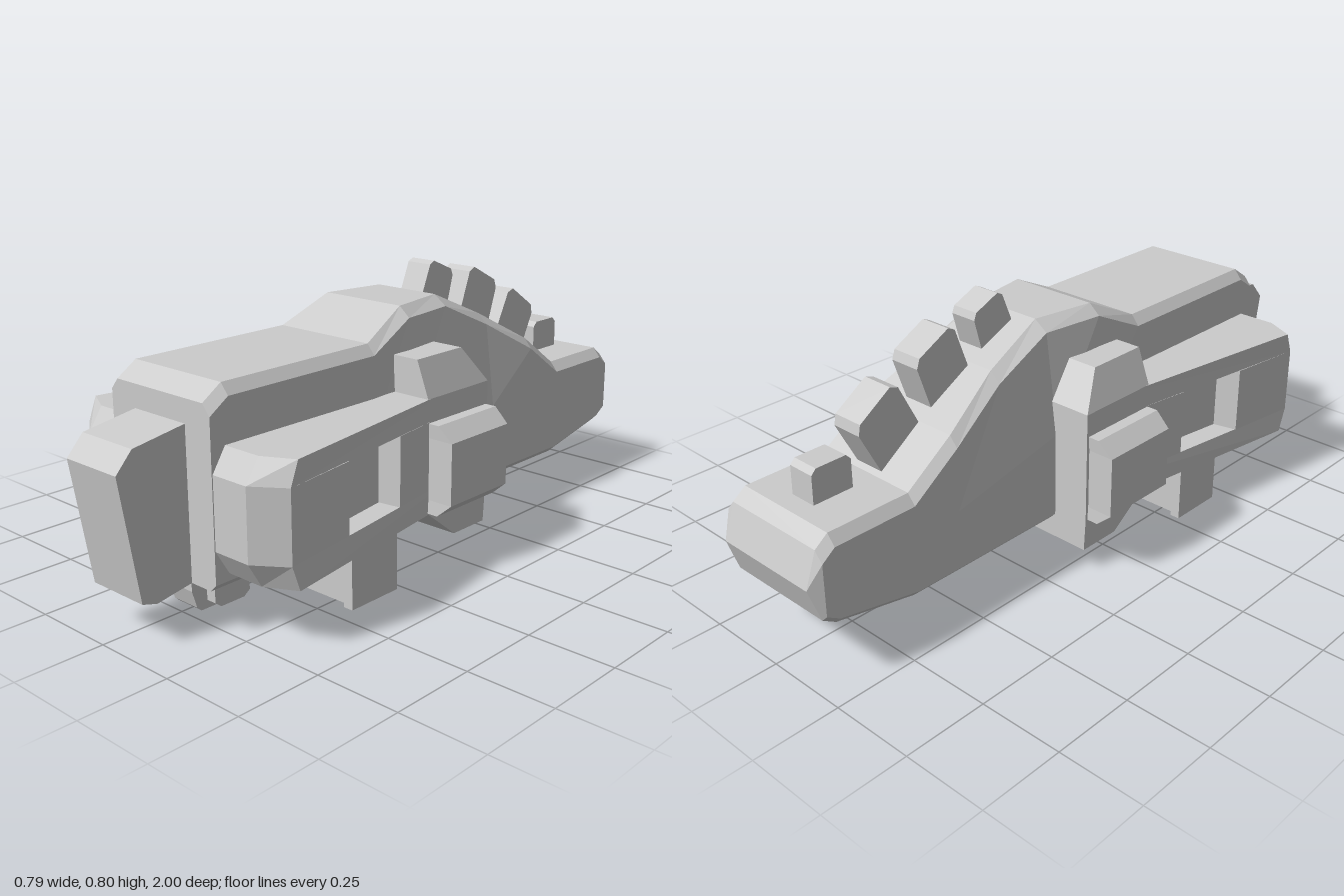
import * as THREE from 'three';

const material = new THREE.MeshStandardMaterial({ color: 0xcccccc, flatShading: true });

function add(parent, name, geometry) {
  const mesh = new THREE.Mesh(geometry, material);
  mesh.name = name;
  parent.add(mesh);
  return mesh;
}

function box(parent, name, [x0, x1], [y0, y1], [z0, z1]) {
  const geometry = new THREE.BoxGeometry(Math.abs(x1 - x0), y1 - y0, z1 - z0);
  geometry.translate((x0 + x1) / 2, (y0 + y1) / 2, (z0 + z1) / 2);
  return add(parent, name, geometry);
}

// Skins closed rings of [x, y, z] points, caps both ends and turns faces outward
function loft(rings) {
  const tris = [];
  const n = rings[0].length;
  for (let r = 0; r < rings.length - 1; r++) {
    for (let i = 0; i < n; i++) {
      const j = (i + 1) % n;
      const [a, b, c, d] = [rings[r][i], rings[r][j], rings[r + 1][j], rings[r + 1][i]];
      tris.push([a, b, c], [a, c, d]);
    }
  }
  const last = rings[rings.length - 1];
  for (let i = 1; i < n - 1; i++) {
    tris.push([rings[0][0], rings[0][i + 1], rings[0][i]], [last[0], last[i], last[i + 1]]);
  }
  let volume = 0;
  for (const t of tris) {
    const [a, b, c] = t.map((p) => new THREE.Vector3(...p));
    volume += a.dot(b.cross(c));
  }
  if (volume < 0) tris.forEach((t) => t.reverse());
  const geometry = new THREE.BufferGeometry();
  geometry.setAttribute('position', new THREE.Float32BufferAttribute(tris.flat(2), 3));
  geometry.computeVertexNormals();
  return geometry;
}

// Side outline of [z, y] points, extruded across x
function sideExtrude(points, halfWidth) {
  const shape = new THREE.Shape(points.map((p) => new THREE.Vector2(...p)));
  const geometry = new THREE.ExtrudeGeometry(shape, { depth: halfWidth * 2, bevelEnabled: false });
  return geometry.translate(0, 0, -halfWidth).rotateY(-Math.PI / 2);
}

// Cuts the two top corners of a quad given as base, base, top, top
function clipTop([a, b, c, d], t = 0.12) {
  const mix = (p, q, k) => [p[0] + (q[0] - p[0]) * k, p[1] + (q[1] - p[1]) * k];
  return [a, b, mix(c, b, t), mix(c, d, t), mix(d, c, t), mix(d, a, t)];
}

function createBody(group) {
  // z, top y, half width of top, half width of upper side, bottom y, middle y
  const rows = [
    [0.79, 0.61, 0.165, 0.19, 0.125, 0.4],
    [0.73, 0.65, 0.165, 0.19, 0.125, 0.4],
    [0.21, 0.65, 0.165, 0.19, 0.125, 0.4],
    [0.05, 0.725, 0.14, 0.175, 0.125, 0.4],
    [-0.14, 0.725, 0.108, 0.15, 0.125, 0.4],
    [-0.33, 0.64, 0.125, 0.157, 0.125, 0.36],
    [-0.52, 0.535, 0.165, 0.19, 0.125, 0.32],
    [-0.67, 0.43, 0.165, 0.19, 0.125, 0.3],
    [-0.925, 0.43, 0.165, 0.19, 0.175, 0.3],
    [-0.965, 0.4, 0.165, 0.19, 0.2, 0.3],
  ];
  const mirrored = (half) => [...half, ...half.map(([x, y, z]) => [-x, y, z]).reverse()];
  const rings = rows.map(([z, top, topX, sideX, low, mid]) => mirrored([
    [0.17, low, z], [0.19, low + 0.02, z], [0.19, mid, z], [sideX, top - 0.03, z], [topX, top, z],
  ]));
  // Wedge ridge closing the tail
  rings.push(mirrored(Array.from({ length: 5 }, () => [0.165, 0.3, -1])));
  add(group, 'body', loft(rings));
}

function createSidePod(group, s) {
  const pod = new THREE.Group();
  pod.name = s > 0 ? 'leftPod' : 'rightPod';
  group.add(pod);
  const outerX = (z) => 0.395 - (0.7 - z) * 0.152;
  const plan = (y, frontZ, cornerZ) => [
    [s * 0.1, y, 0], [s * 0.1, y, frontZ], [s * 0.307, y, frontZ],
    [s * 0.395, y, cornerZ], [s * outerX(0), y, 0],
  ];
  add(pod, 'podLower', loft([plan(0.165, 0.745, 0.7), plan(0.235, 0.787, 0.725)]));
  add(pod, 'podUpper', loft([plan(0.435, 0.787, 0.725), plan(0.5, 0.745, 0.7)]));

  // Middle band with the side window recess
  const depth = 0.07;
  const outline = [
    [0.1, 0], [0.1, 0.787], [0.307, 0.787], [0.395, 0.725],
    [outerX(0.495), 0.495], [outerX(0.48) - depth, 0.48],
    [outerX(0.27) - depth, 0.27], [outerX(0.26), 0.26], [outerX(0), 0],
  ];
  const shape = new THREE.Shape(outline.map(([x, z]) => new THREE.Vector2(s * x, -z)));
  const band = new THREE.ExtrudeGeometry(shape, { depth: 0.2, bevelEnabled: false });
  add(pod, 'podWindowBand', band.rotateX(-Math.PI / 2).translate(0, 0.235, 0));
}

function createFin(group, s) {
  const fin = new THREE.Group();
  fin.name = s > 0 ? 'leftFin' : 'rightFin';
  group.add(fin);
  const plan = (y, x, front, back) => [
    [s * 0.1, y, back], [s * 0.1, y, front], [s * x, y, front], [s * x, y, back],
  ];
  add(fin, 'finPlate', loft([
    plan(0.07, 0.3, -0.01, -0.145), plan(0.17, 0.305, 0.12, -0.145),
    plan(0.5, 0.305, 0.12, -0.145), plan(0.605, 0.265, 0.12, -0.07),
  ]));
  add(fin, 'finBlock', loft([
    plan(0.17, 0.34, 0.118, -0.138), plan(0.21, 0.386, 0.115, -0.135),
    plan(0.39, 0.386, 0.115, -0.135), plan(0.432, 0.34, 0.118, -0.138),
  ]));
}

export function createModel() {
  const group = new THREE.Group();
  group.name = 'model';
  createBody(group);

  add(group, 'noseBlock', sideExtrude([
    [0.7, 0.125], [0.79, 0.125], [0.9, 0.107], [0.945, 0.12],
    [1, 0.465], [0.95, 0.52], [0.79, 0.545], [0.7, 0.545],
  ], 0.097));

  for (const s of [1, -1]) {
    createSidePod(group, s);
    createFin(group, s);
    box(group, 'crossbarEnd', [s * 0.297, s * 0.327], [0, 0.18], [0.27, 0.447]);
  }
  box(group, 'crossbar', [-0.3, 0.3], [0.006, 0.18], [0.28, 0.437]);

  // Foot under the nose
  add(group, 'foot', sideExtrude([
    [0.58, 0.15], [0.58, 0.03], [0.6, 0.015], [0.68, 0.015], [0.7, 0.03], [0.7, 0.15],
  ], 0.077));
  add(group, 'footCentre', sideExtrude([
    [0.58, 0.15], [0.58, 0.02], [0.6, 0.007], [0.72, 0.007], [0.735, 0.02], [0.75, 0.07], [0.75, 0.15],
  ], 0.045));

  // Row of ridge blocks along the sloping back
  const ridges = [
    { half: 0.042, quad: [[-0.275, 0.64], [-0.155, 0.69], [-0.205, 0.81], [-0.31, 0.765]] },
    { half: 0.048, quad: [[-0.47, 0.54], [-0.33, 0.61], [-0.39, 0.77], [-0.525, 0.7]] },
    { half: 0.048, quad: [[-0.645, 0.42], [-0.51, 0.51], [-0.595, 0.675], [-0.73, 0.585]] },
    { half: 0.042, quad: [[-0.87, 0.4], [-0.745, 0.4], [-0.745, 0.528], [-0.868, 0.528]] },
  ];
  for (const { half, quad } of ridges) {
    add(group, 'ridgeBlock', sideExtrude(clipTop(quad), half));
  }
  return group;
}
